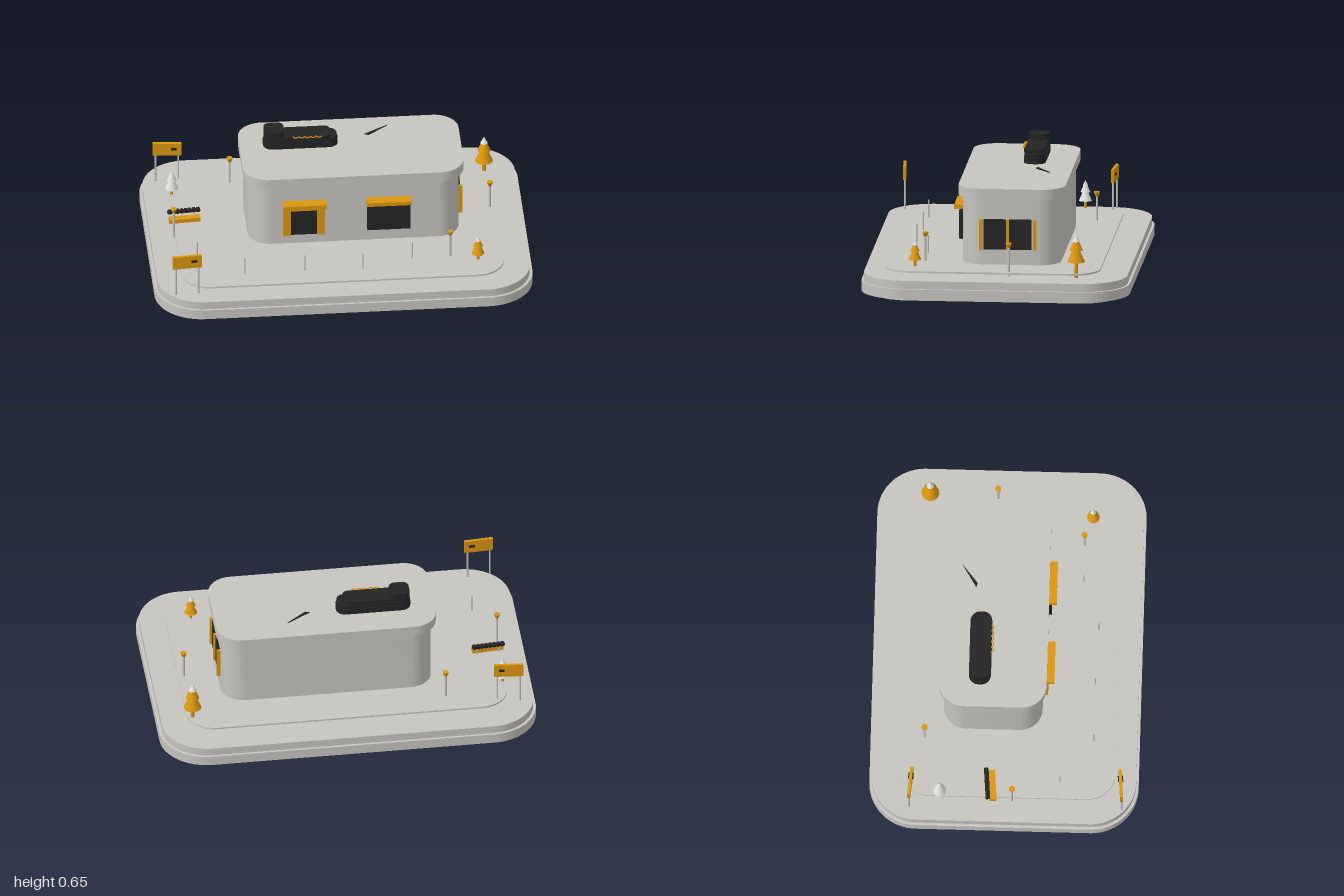
import * as THREE from 'three';
import { toCreasedNormals } from 'three/addons/utils/BufferGeometryUtils.js';

const material = (name, color) => Object.assign(new THREE.MeshStandardMaterial({ color }), { name });

export function createModel() {
  const model = new THREE.Group();
  model.name = 'storeDiorama';
  const stone = material('stone grey', 0xc6c4bf);
  const amber = material('amber', 0xdb960f);
  const dark = material('charcoal', 0x242424);
  const snow = material('pale snow', 0xe2e2e0);

  const add = (parent, name, geometry, mat, x = 0, y = 0, z = 0) => {
    const mesh = new THREE.Mesh(geometry, mat);
    mesh.name = name;
    mesh.position.set(x, y, z);
    parent.add(mesh);
    return mesh;
  };
  const group = (name, x = 0, y = 0, z = 0, turn = 0) => {
    const g = new THREE.Group();
    g.name = name;
    g.position.set(x, y, z);
    g.rotation.y = turn;
    model.add(g);
    return g;
  };
  // Box given by its limits on each axis
  const block = (parent, name, mat, [x0, x1], [y0, y1], [z0, z1]) =>
    add(parent, name, new THREE.BoxGeometry(x1 - x0, y1 - y0, z1 - z0), mat,
      (x0 + x1) / 2, (y0 + y1) / 2, (z0 + z1) / 2);
  // Flat slab with rounded corners in plan
  const slab = (parent, name, mat, [x0, x1], [y0, y1], [z0, z1], r) => {
    const w = (x1 - x0) / 2, d = (z1 - z0) / 2;
    const s = new THREE.Shape();
    s.moveTo(-w + r, -d);
    s.absarc(w - r, -d + r, r, -Math.PI / 2, 0);
    s.absarc(w - r, d - r, r, 0, Math.PI / 2);
    s.absarc(-w + r, d - r, r, Math.PI / 2, Math.PI);
    s.absarc(-w + r, -d + r, r, Math.PI, Math.PI * 1.5);
    const g = new THREE.ExtrudeGeometry(s, { depth: y1 - y0, bevelEnabled: false, curveSegments: 10 });
    g.rotateX(-Math.PI / 2);
    return add(parent, name, toCreasedNormals(g, 0.6), mat, (x0 + x1) / 2, y0, (z0 + z1) / 2);
  };

  // Stepped base and raised plaza
  const base = group('base');
  slab(base, 'foot', stone, [-0.94, 0.94], [0, 0.018], [-0.65, 0.65], 0.2);
  slab(base, 'lowerSlab', stone, [-1, 1], [0.018, 0.072], [-0.71, 0.71], 0.25);
  slab(base, 'upperSlab', stone, [-0.985, 0.985], [0.072, 0.115], [-0.697, 0.697], 0.24);
  slab(base, 'plaza', stone, [-0.855, 0.85], [0.13, 0.139], [-0.55, 0.587], 0.15);

  // Building
  const building = group('building');
  slab(building, 'walls', stone, [-0.475, 0.642], [0.139, 0.497], [-0.328, 0.193], 0.12);
  slab(building, 'roof', stone, [-0.5, 0.667], [0.497, 0.551], [-0.352, 0.214], 0.13);

  // Front door with frame, front window, and a canopy over each
  block(building, 'doorPanel', dark, [-0.256, -0.118], [0.2, 0.352], [0.19, 0.21]);
  block(building, 'doorJamb', amber, [-0.297, -0.256], [0.2, 0.38], [0.19, 0.22]);
  block(building, 'doorJamb', amber, [-0.118, -0.077], [0.2, 0.38], [0.19, 0.22]);
  block(building, 'doorLintel', amber, [-0.256, -0.118], [0.352, 0.38], [0.19, 0.22]);
  block(building, 'doorCanopy', amber, [-0.3, -0.07], [0.38, 0.402], [0.19, 0.253]);
  block(building, 'frontWindow', dark, [0.147, 0.375], [0.218, 0.37], [0.19, 0.227]);
  block(building, 'windowCanopy', amber, [0.143, 0.38], [0.38, 0.402], [0.19, 0.253]);

  // Side window panes and their posts
  for (const z of [[-0.18, -0.063], [-0.047, 0.073]])
    block(building, 'sideWindowPane', dark, [0.638, 0.65], [0.222, 0.384], z);
  for (const z of [[-0.207, -0.19], [-0.063, -0.047], [0.08, 0.097]])
    block(building, 'sideWindowPost', amber, [0.638, 0.66], [0.22, 0.384], z);

  // Shoe sculpture on the roof, with laces along its front flank
  const shoe = group('roofShoe');
  slab(shoe, 'shoeSole', dark, [-0.375, 0.02], [0.551, 0.582], [-0.197, -0.082], 0.05);
  slab(shoe, 'shoeToe', dark, [-0.37, 0.015], [0.582, 0.603], [-0.192, -0.084], 0.045);
  slab(shoe, 'shoeUpper', dark, [-0.37, -0.02], [0.603, 0.62], [-0.188, -0.08], 0.03);
  slab(shoe, 'shoeCollar', dark, [-0.37, -0.265], [0.62, 0.651], [-0.192, -0.082], 0.035);
  for (let i = 0; i < 5; i++) {
    const lace = add(shoe, 'shoeLace', new THREE.TorusGeometry(0.013, 0.003, 6, 12, Math.PI),
      amber, -0.205 + i * 0.031, 0.622, -0.085);
    lace.rotation.x = Math.PI / 2;
  }

  // Plain tapered strip lying above the roof
  const strip = new THREE.Shape([[0.165, 0.172], [0.187, 0.165], [0.29, 0.248], [0.205, 0.196]]
    .map(([x, y]) => new THREE.Vector2(x, y)));
  const stripGeometry = new THREE.ExtrudeGeometry(strip, { depth: 0.005, bevelEnabled: false });
  stripGeometry.rotateX(-Math.PI / 2);
  add(building, 'roofStrip', stripGeometry, dark, 0, 0.563, 0);

  // Lamp posts
  for (const [x, z] of [[-0.527, -0.425], [0.82, -0.075], [-0.862, 0.045], [0.572, 0.388]]) {
    const lamp = group('lampPost', x, 0.115, z);
    add(lamp, 'pole', new THREE.CylinderGeometry(0.006, 0.006, 0.16, 10), stone, 0, 0.08, 0);
    add(lamp, 'lampHead', new THREE.CylinderGeometry(0.016, 0.008, 0.018, 14), amber, 0, 0.163, 0);
    add(lamp, 'lampCap', new THREE.CylinderGeometry(0.016, 0.016, 0.007, 14), amber, 0, 0.1755, 0);
  }

  // Slim bollards in front
  for (const [x, z] of [[-0.76, 0.295], [-0.522, 0.466], [-0.205, 0.466], [0.102, 0.475], [0.37, 0.39]])
    add(model, 'bollard', new THREE.CylinderGeometry(0.004, 0.004, 0.12, 8), stone, x, 0.175, z);

  // Tiered trees with pale tips; the size scales the whole tree
  for (const [x, z, size, leaf] of [[0.82, -0.432, 1, amber], [0.715, 0.43, 0.71, amber], [-0.841, -0.337, 0.74, snow]]) {
    const tree = group('tree', x, 0.115, z);
    tree.scale.setScalar(size);
    add(tree, 'trunk', new THREE.CylinderGeometry(0.009, 0.011, 0.1, 10), amber, 0, 0.05, 0);
    add(tree, 'lowerBranches', new THREE.ConeGeometry(0.047, 0.105, 16), leaf, 0, 0.1375, 0);
    add(tree, 'upperBranches', new THREE.ConeGeometry(0.035, 0.08, 16), leaf, 0, 0.188, 0);
    add(tree, 'treeTip', new THREE.ConeGeometry(0.02, 0.038, 16), snow, 0, 0.213, 0);
  }

  // Two sign boards on posts, with a plain dark panel on each face
  for (const [x, z, turn] of [[-0.853, -0.492, -0.08], [-0.84, 0.619, 0.08]]) {
    const sign = group('signBoard', x, 0, z, turn);
    block(sign, 'board', amber, [-0.077, 0.077], [0.287, 0.36], [-0.008, 0.008]);
    for (const s of [-1, 1]) {
      add(sign, 'signPost', new THREE.CylinderGeometry(0.005, 0.005, 0.17, 8), stone, s * 0.06, 0.21, 0);
      block(sign, 'signPanel', dark, [0.022, 0.052], [0.323, 0.335], [s * 0.01 - 0.004, s * 0.01 + 0.004]);
    }
  }

  // Bench with a slatted back rail
  const bench = group('bench', -0.797, 0, -0.072, 0.08);
  block(bench, 'seat', amber, [-0.083, 0.083], [0.145, 0.167], [-0.008, 0.03]);
  for (const s of [-1, 1])
    block(bench, 'benchSupport', stone, [s * 0.06 - 0.003, s * 0.06 + 0.003], [0.139, 0.185], [-0.018, -0.012]);
  block(bench, 'backRail', dark, [-0.087, 0.087], [0.185, 0.196], [-0.025, -0.006]);
  for (let i = 0; i < 8; i++)
    block(bench, 'railSlat', dark, [-0.083 + i * 0.0215, -0.068 + i * 0.0215], [0.183, 0.2], [-0.028, -0.004]);

  return model;
}
